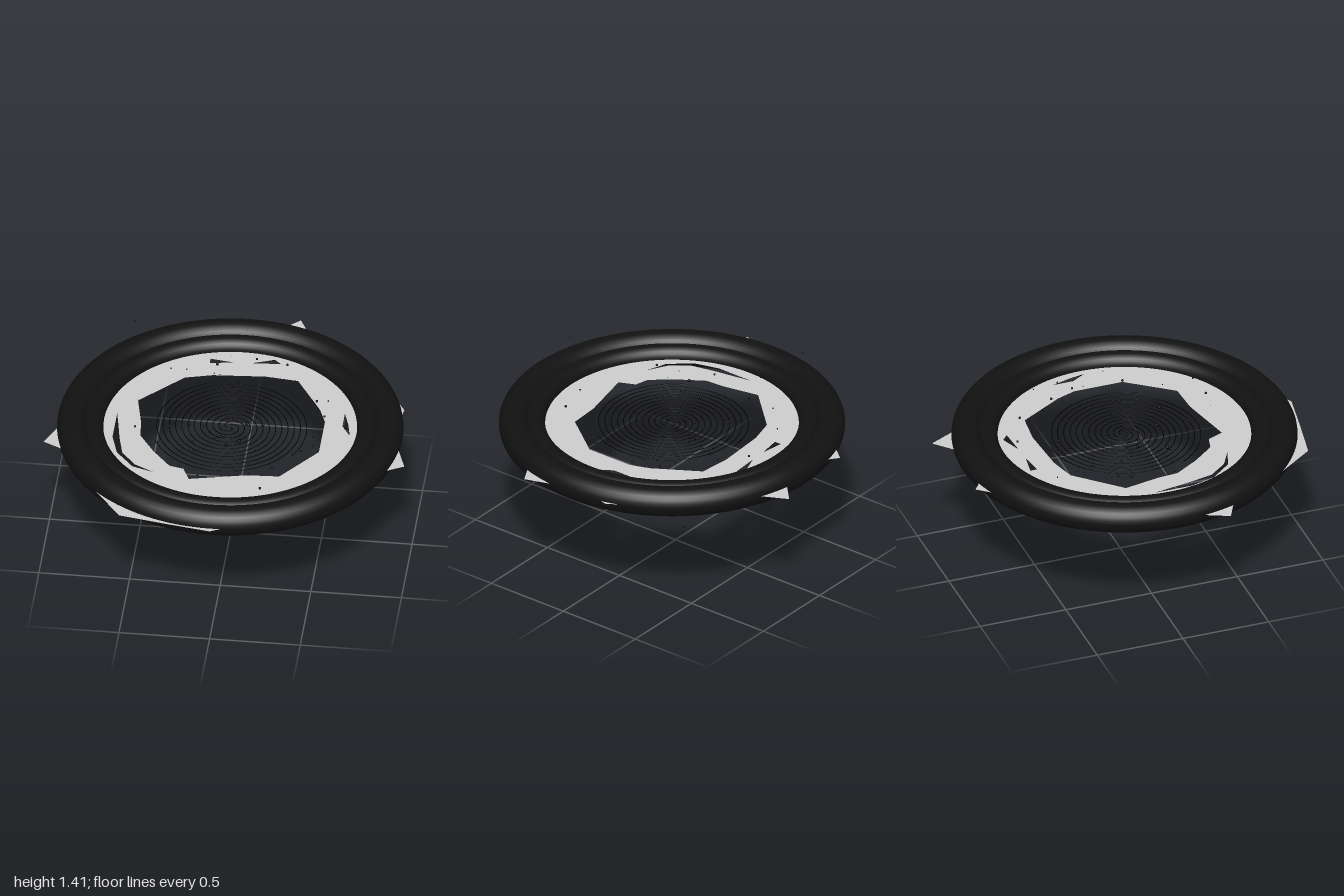
import * as THREE from 'three';

const MID_Y = 0.73, MID_Z = 0.025;

export function createModel() {
  const model = new THREE.Group();
  const black = new THREE.MeshStandardMaterial({ color: 0x111111 });
  const ink = new THREE.MeshStandardMaterial({ color: 0x000000 });
  const grey = new THREE.MeshStandardMaterial({ color: 0xcccccc, side: THREE.DoubleSide });

  const add = (name, geometry, material, parent = model) => {
    const mesh = new THREE.Mesh(geometry, material);
    mesh.name = name;
    parent.add(mesh);
    return mesh;
  };

  // Two nested rings: a thick rim and a slimmer inner one
  const ring = (name, radius, tube) => {
    const mesh = add(name, new THREE.TorusGeometry(radius, tube, 24, 128).rotateX(Math.PI / 2), black);
    mesh.position.set(0, MID_Y, MID_Z);
  };
  ring('outerRing', 0.866, 0.083);
  ring('innerRing', 0.755, 0.06);

  // Flat jagged sheet with an open middle and slits, drawn as [x, z] corners
  const outline = [
    [0.14, -0.88], [0.27, -1], [0.35, -0.84], [0.7, -0.6], [0.93, -0.24], [0.89, 0], [0.93, 0.1],
    [0.99, 0.28], [0.84, 0.36], [0.65, 0.62], [0.3, 0.86], [0.06, 0.97], [0, 1], [-0.24, 0.96],
    [-0.51, 0.91], [-0.68, 0.68], [-0.86, 0.35], [-1, 0.28], [-0.92, 0.1], [-0.88, -0.1],
    [-0.7, -0.5], [-0.36, -0.82], [-0.26, -0.94], [-0.18, -0.88],
  ];
  const opening = [
    [-0.15, -0.44], [0.14, -0.46], [0.32, -0.44], [0.47, -0.19], [0.51, -0.08], [0.51, 0.2],
    [0.32, 0.45], [0.14, 0.46], [-0.17, 0.53], [-0.21, 0.44], [-0.29, 0.42], [-0.39, 0.3],
    [-0.48, 0.16], [-0.49, 0.04], [-0.53, -0.16], [-0.3, -0.4],
  ];
  const slits = [
    [[-0.63, -0.03], [-0.61, 0.08], [-0.59, 0.2], [-0.56, 0.33], [-0.48, 0.43], [-0.37, 0.49],
      [-0.49, 0.45], [-0.59, 0.33], [-0.63, 0.19]],
    [[-0.18, -0.59], [-0.05, -0.57], [-0.18, -0.55]],
    [[0.05, -0.575], [0.17, -0.62], [0.21, -0.585]],
    [[0.61, -0.17], [0.64, -0.07], [0.66, 0.03], [0.61, -0.05]],
  ];
  const corners = (list) => list.map(([x, z]) => new THREE.Vector2(x, -z));
  const sheet = new THREE.Shape(corners(outline));
  for (const hole of [opening, ...slits]) sheet.holes.push(new THREE.Path(corners(hole)));
  add('jaggedSheet', new THREE.ShapeGeometry(sheet).rotateX(-Math.PI / 2), grey).position.y = MID_Y;

  // Fine spiral threads filling the opening
  const spirals = new THREE.Group();
  spirals.name = 'spirals';
  model.add(spirals);
  const arms = 3, turns = 4;
  for (let a = 0; a < arms; a++) {
    const points = [];
    for (let i = 0; i <= 160; i++) {
      const t = i / 160;
      const angle = 0.55 + (a / arms + t * turns) * Math.PI * 2;
      const r = 0.02 + 0.41 * t;
      points.push(new THREE.Vector3(Math.cos(angle) * r, MID_Y, MID_Z + Math.sin(angle) * r));
    }
    const path = new THREE.CatmullRomCurve3(points);
    add('spiralArm', new THREE.TubeGeometry(path, 480, 0.0025, 5), ink, spirals);
  }

  // Floating specks: the larger stray ones placed by hand as [x, y, z, radius]
  const particles = new THREE.Group();
  particles.name = 'particles';
  model.add(particles);
  const ball = new THREE.SphereGeometry(1, 10, 8);
  const speck = (x, y, z, r) => {
    const mesh = add('particle', ball, ink, particles);
    mesh.position.set(x, y, z);
    mesh.scale.setScalar(r);
  };
  [
    [-0.58, 1.07, -0.43, 0.006], [-0.09, 0.96, 0.8, 0.006], [-0.23, 0.89, 0.31, 0.007],
    [-0.5, 0.865, -0.39, 0.004], [0.21, 0.865, 0.5, 0.005], [-0.05, 0.45, -0.18, 0.008],
    [-0.29, 0.415, -0.01, 0.007], [0.41, 0.4, -0.38, 0.006], [0.1, 0.4, -0.01, 0.005],
    [0.18, 0.33, 0.13, 0.009], [0.58, 0.31, -0.13, 0.005], [-0.26, 0.31, 0.36, 0.005],
    [-0.4, 0.195, -0.11, 0.006], [-0.26, 0.27, 0.24, 0.004], [-0.15, 0.12, 0.55, 0.004],
    [0.31, 0.007, 0.06, 0.007], [-0.1, 1.41, -0.03, 0.003], [-0.12, 0.58, -0.59, 0.004],
    [-0.43, 0.635, -0.43, 0.005], [0.26, 1.04, 0.48, 0.003],
  ].forEach((p) => speck(...p));

  // Scattered remainder: dense around the middle plane, sparse above and below
  let seed = 7;
  const random = () => (seed = (seed * 16807) % 2147483647) / 2147483647;
  for (let i = 0; i < 110; i++) {
    const stray = i % 4 === 0;
    const angle = random() * Math.PI * 2;
    const r = 0.62 * Math.pow(random(), 0.8);
    const y = MID_Y + (random() - 0.5) * (stray ? 1.3 : 0.16);
    const size = stray ? 0.001 + 0.002 * random() : 0.003 + 0.006 * random();
    speck(Math.cos(angle) * r, y, MID_Z + Math.sin(angle) * r, size);
  }
  return model;
}
